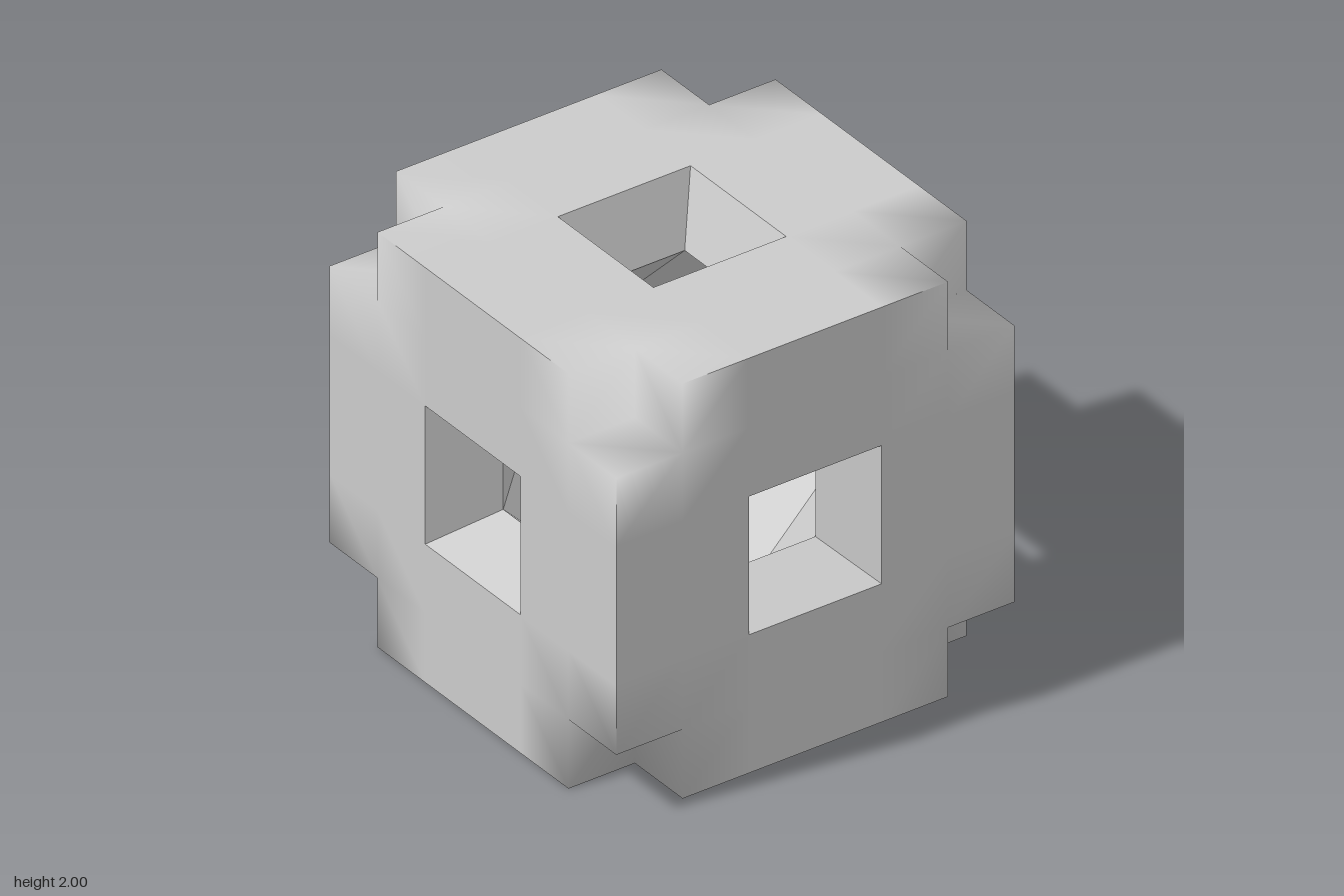
import * as THREE from 'three';

const N = 2 / 3;      // corner notches start here
const H = 1 / 3;      // half width of a window on the outside
const K = 0.684;      // windows shrink towards the centre by this factor
const SIGNS = [-1, 1];
const AXES = [0, 1, 2];

// Point with w along the given axis and u, v along the next two
function at(axis, w, u, v) {
  const p = [0, 0, 0];
  p[axis] = w;
  p[(axis + 1) % 3] = u;
  p[(axis + 2) % 3] = v;
  return new THREE.Vector3(...p);
}

// Notch vertices blend the faces around them; all others stay flat
function vertexNormal(p, flat) {
  const c = p.toArray();
  if (c.some((x) => Math.abs(x) < 0.6)) return flat;
  const onFaces = c.filter((x) => Math.abs(x) > 0.99).length;
  const n = c.map((x) => Math.sign(x) * (onFaces === 1 && Math.abs(x) > 0.99 ? 3 : 1));
  return new THREE.Vector3(...n).normalize();
}

// Collects flat polygons, each turned towards a given direction
class Surface {
  positions = [];
  normals = [];

  face(points, facing, smooth = false) {
    const [a, b, c] = points;
    const flat = b.clone().sub(a).cross(c.clone().sub(a)).normalize();
    if (flat.dot(facing) < 0) {
      points = [...points].reverse();
      flat.negate();
    }
    for (let i = 1; i < points.length - 1; i++) {
      for (const p of [points[0], points[i], points[i + 1]]) {
        this.positions.push(p.x, p.y, p.z);
        this.normals.push(...(smooth ? vertexNormal(p, flat) : flat).toArray());
      }
    }
  }

  mesh(name, material) {
    const g = new THREE.BufferGeometry();
    g.setAttribute('position', new THREE.Float32BufferAttribute(this.positions, 3));
    g.setAttribute('normal', new THREE.Float32BufferAttribute(this.normals, 3));
    const m = new THREE.Mesh(g, material);
    m.name = name;
    m.position.y = 1;
    return m;
  }
}

export function createModel() {
  const group = new THREE.Group();
  group.name = 'hollowCube';
  const material = new THREE.MeshStandardMaterial({ color: 0xcccccc });
  const outer = new Surface();
  const notches = new Surface();
  const windows = new Surface();
  const cavity = new Surface();
  const grid = [-1, -N, -H, H, N, 1];
  const h = H * K;

  for (const axis of AXES) {
    for (const s of SIGNS) {
      // Outer face: a grid of cells without its corners and centre
      for (let i = 0; i < 5; i++) {
        for (let j = 0; j < 5; j++) {
          if ((i % 4 === 0 && j % 4 === 0) || (i === 2 && j === 2)) continue;
          const [u0, u1, v0, v1] = [grid[i], grid[i + 1], grid[j], grid[j + 1]];
          outer.face([at(axis, s, u0, v0), at(axis, s, u1, v0), at(axis, s, u1, v1), at(axis, s, u0, v1)],
            at(axis, s, 0, 0), true);
        }
      }

      for (const t of SIGNS) {
        // Tapered window walls, facing the window's own axis
        const rimU = [at(axis, s, t * H, -H), at(axis, s, t * H, H)];
        const rimV = [at(axis, s, -H, t * H), at(axis, s, H, t * H)];
        for (const [rim, facing] of [[rimU, at(axis, 0, -t, 0)], [rimV, at(axis, 0, 0, -t)]]) {
          const [a, b] = rim;
          windows.face([a, b, b.clone().multiplyScalar(K), a.clone().multiplyScalar(K)], facing);
        }

        // Sloping cavity walls between neighbouring windows
        cavity.face([at(axis, s * K, t * h, -h), at(axis, s * K, t * h, h),
          at(axis, s * h, t * K, h), at(axis, s * h, t * K, -h)], at(axis, -s, -t, 0));

        // Notch walls
        for (const r of SIGNS) {
          notches.face([at(axis, s * N, t * N, r * N), at(axis, s * N, t, r * N),
            at(axis, s * N, t, r), at(axis, s * N, t * N, r)], at(axis, s, 0, 0), true);
        }
      }
    }
  }

  // Triangular cavity corners
  for (const x of SIGNS) for (const y of SIGNS) for (const z of SIGNS) {
    cavity.face([new THREE.Vector3(x * K, y * h, z * h), new THREE.Vector3(x * h, y * K, z * h),
      new THREE.Vector3(x * h, y * h, z * K)], new THREE.Vector3(-x, -y, -z));
  }

  group.add(outer.mesh('outerFaces', material), notches.mesh('cornerNotches', material),
    windows.mesh('windowWalls', material), cavity.mesh('innerCavity', material));
  return group;
}
